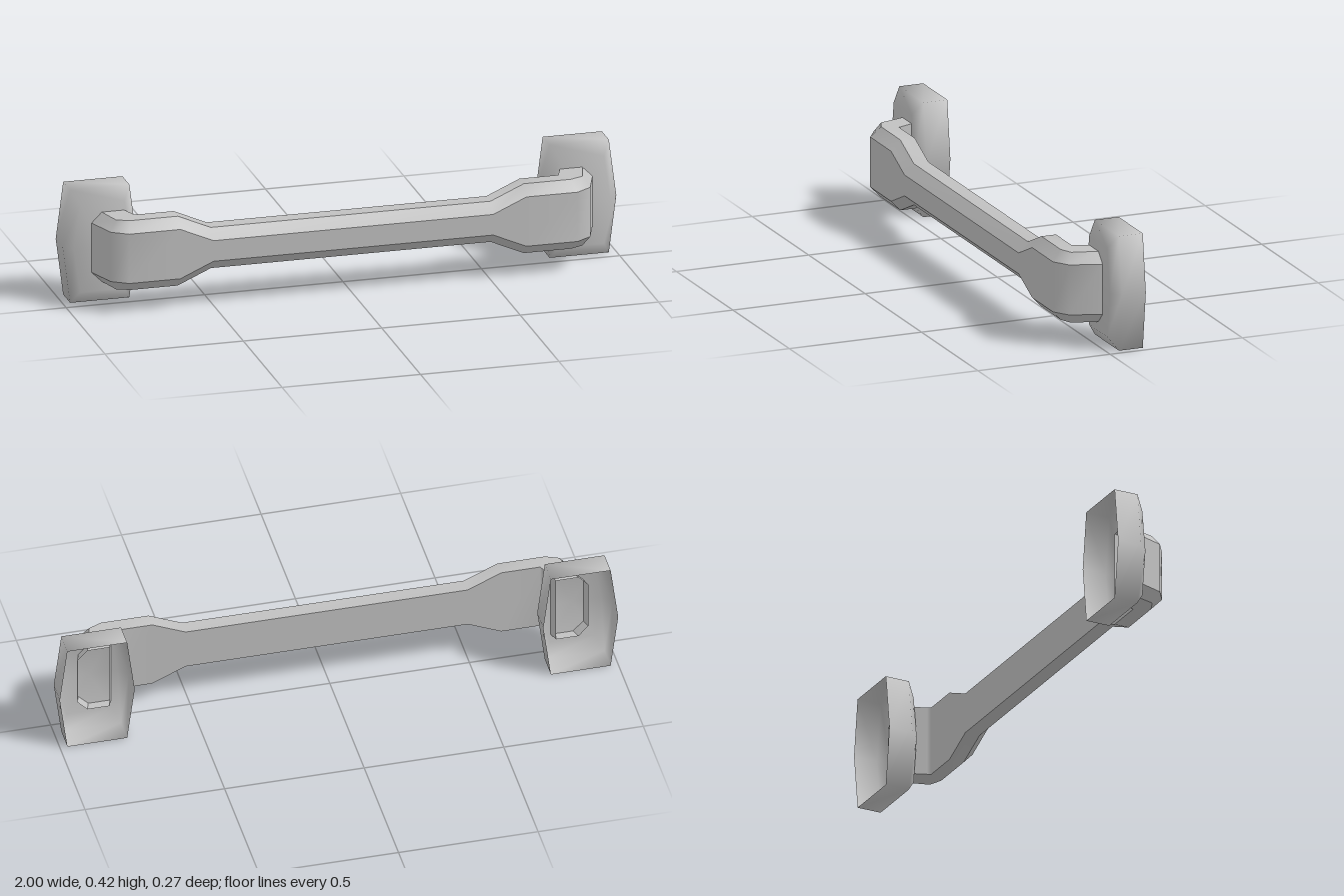
import * as THREE from 'three';

const MID_Y = 0.208;

// Indexed surface from rows of equal length; shared vertices give smooth normals.
function skin(rows, closed, cap) {
  const n = rows[0].length, pos = rows.flat(2), index = [];
  for (let i = 0; i < rows.length - 1; i++) {
    for (let j = 0; j < (closed ? n : n - 1); j++) {
      const k = (j + 1) % n;
      const a = i * n + j, c = i * n + k, b = a + n, d = c + n;
      index.push(a, c, b, b, c, d);
    }
  }
  if (cap) {
    const base = (rows.length - 1) * n;
    pos.push(...cap);
    for (let j = 0; j < n; j++) index.push(base + j, base + (j + 1) % n, rows.length * n);
  }
  const geo = new THREE.BufferGeometry();
  geo.setAttribute('position', new THREE.Float32BufferAttribute(pos, 3));
  geo.setIndex(index);
  geo.computeVertexNormals();
  return geo;
}

// Half of the grip: back, shoulder and front points [x, z], then outer and front half heights.
const stations = [
  [[0.505, 0.045], [0.505, 0.1], [0.505, 0.135], 0.075, 0.038],
  [[0.625, 0.045], [0.625, 0.1], [0.625, 0.135], 0.128, 0.091],
  [[0.765, 0.045], [0.795, 0.1], [0.81, 0.135], 0.128, 0.091],
  [[0.77, 0.032], [0.842, 0.08], [0.866, 0.098], 0.128, 0.091],
  [[0.787, -0.012], [0.868, -0.012], [0.905, -0.012], 0.128, 0.091],
  [[0.8, -0.045], [0.88, -0.045], [0.915, -0.045], 0.128, 0.091],
];

function section([back, shoulder, front, H, h], side) {
  const p = ([x, z], y) => [x * side, MID_Y + y, z];
  return [p(back, -H), p(back, H), p(shoulder, H), p(front, h), p(front, -h), p(shoulder, -H)];
}

export function createModel() {
  const group = new THREE.Group();
  const metal = new THREE.MeshStandardMaterial({ color: 0xc0c0c0, side: THREE.DoubleSide });
  metal.name = 'grey metal';

  // Grip: one strip per side of the section, so long edges stay sharp and bends smooth.
  const sections = [
    ...[...stations].reverse().map((s) => section(s, -1)),
    ...stations.map((s) => section(s, 1)),
  ];
  const grip = new THREE.Group();
  grip.name = 'grip';
  for (let j = 0; j < 6; j++) {
    const strip = new THREE.Mesh(skin(sections.map((s) => [s[j], s[(j + 1) % 6]]), false), metal);
    strip.name = ['gripBack', 'gripTop', 'gripUpperBevel', 'gripFront', 'gripLowerBevel', 'gripBottom'][j];
    grip.add(strip);
  }
  group.add(grip);

  // Mounts: six-sided cups, bevelled in front and open at the back.
  const ring = (w, wMid, h, z) =>
    [[wMid, 0], [w, h], [-w, h], [-wMid, 0], [-w, -h], [w, -h]].map(([x, y]) => [x, y, z]);
  const cup = skin([
    ring(0.107, 0.134, 0.208, -0.135),
    ring(0.107, 0.134, 0.208, -0.045),
    ring(0.08, 0.103, 0.161, -0.012),
  ], true, [0, 0, -0.012]);
  for (const side of [-1, 1]) {
    const mount = new THREE.Mesh(cup, metal);
    mount.name = side > 0 ? 'leftMount' : 'rightMount';
    mount.position.set(side * 0.866, MID_Y, 0);
    group.add(mount);
  }
  return group;
}
